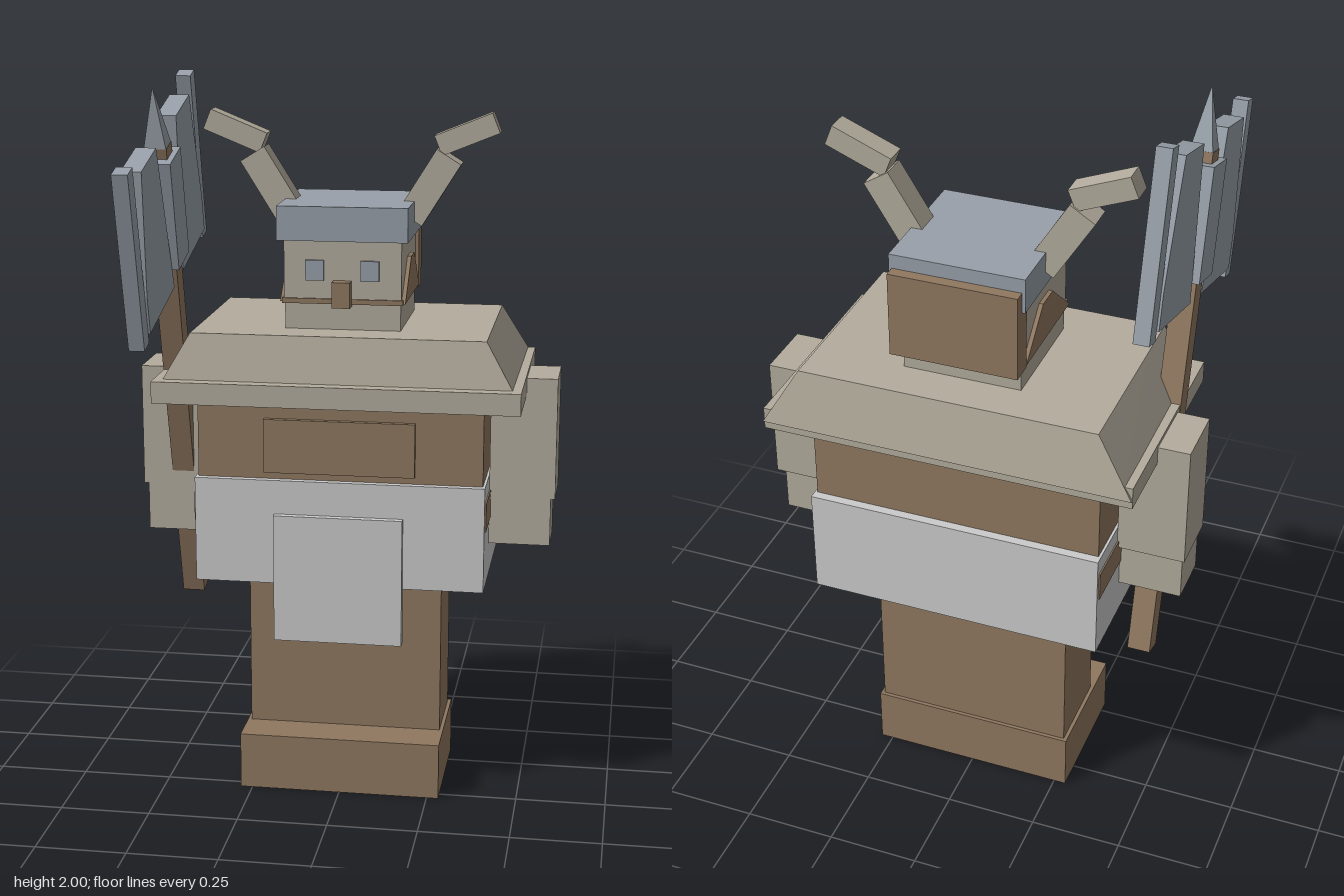
import * as THREE from 'three';

const material = (name, color) => {
  const m = new THREE.MeshStandardMaterial({ color });
  m.name = name;
  return m;
};

export function createModel() {
  const root = new THREE.Group();
  root.name = 'hornedWarrior';
  const leather = material('leather brown', 0x8f7860);
  const bone = material('bone tan', 0xb3ac9d);
  const steel = material('steel grey', 0x98a0a9);
  const cloth = material('pale cloth', 0xcbcbcb);

  const add = (name, geometry, mat, parent = root) => {
    const mesh = new THREE.Mesh(geometry, mat);
    mesh.name = name;
    parent.add(mesh);
    return mesh;
  };
  // Box given by its lower and upper limits on each axis
  const box = (name, mat, [x0, x1], [y0, y1], [z0, z1], parent) => {
    const mesh = add(name, new THREE.BoxGeometry(x1 - x0, y1 - y0, z1 - z0), mat, parent);
    mesh.position.set((x0 + x1) / 2, (y0 + y1) / 2, (z0 + z1) / 2);
    return mesh;
  };
  // Outline in (z, y), extruded along x and centred on x = 0
  const sidePlate = (name, mat, points, depth, parent) => {
    const shape = new THREE.Shape(points.map(([z, y]) => new THREE.Vector2(z, y)));
    const g = new THREE.ExtrudeGeometry(shape, { depth, bevelEnabled: false });
    g.rotateY(-Math.PI / 2).translate(depth / 2, 0, 0);
    return add(name, g, mat, parent);
  };

  // Lower body
  box('boots', leather, [-0.283, 0.283], [0, 0.16], [-0.325, 0.03]);
  box('legs', leather, [-0.273, 0.273], [0.16, 0.63], [-0.315, -0.085]);
  box('skirt', cloth, [-0.4, 0.4], [0.62, 0.915], [-0.445, 0.04]);
  box('apron', cloth, [-0.178, 0.178], [0.46, 0.82], [0.03, 0.06]);

  // Torso
  box('torso', leather, [-0.393, 0.393], [0.9, 1.15], [-0.42, 0.02]);
  box('chestPanel', leather, [-0.208, 0.208], [0.935, 1.085], [0.01, 0.035]);

  // Shoulder mantle: a flat brim under a sloping top
  box('mantleBrim', bone, [-0.497, 0.497], [1.14, 1.2], [-0.488, 0.125]);
  const mantle = new THREE.BoxGeometry(1, 1, 1);
  const p = mantle.attributes.position;
  for (let i = 0; i < p.count; i++) {
    const side = Math.sign(p.getX(i)), front = p.getZ(i) > 0;
    if (p.getY(i) > 0) p.setXYZ(i, side * 0.4, 1.325, front ? 0.065 : -0.47);
    else p.setXYZ(i, side * (front ? 0.475 : 0.497), front ? 1.195 : 1.165, front ? 0.09 : -0.497);
  }
  mantle.computeVertexNormals();
  add('mantleTop', mantle, bone);

  // Head
  box('neck', bone, [-0.158, 0.158], [1.3, 1.4], [-0.355, -0.04]);
  box('head', bone, [-0.16, 0.16], [1.4, 1.58], [-0.355, -0.035]);
  box('helmet', steel, [-0.178, 0.178], [1.567, 1.66], [-0.382, -0.022]);
  box('hair', leather, [-0.17, 0.17], [1.393, 1.622], [-0.413, -0.35]);
  box('nose', leather, [-0.025, 0.025], [1.39, 1.46], [-0.04, 0]);
  box('moustache', leather, [-0.165, 0.165], [1.396, 1.41], [-0.04, -0.03]);

  // Mirrored parts
  for (const s of [1, -1]) {
    const side = s > 0 ? 'left' : 'right';
    const span = (a, b) => (s > 0 ? [a, b] : [-b, -a]);
    box(side + 'UpperArm', bone, span(0.4, 0.582), [0.85, 1.19], [-0.285, -0.115]);
    box(side + 'Hand', bone, span(0.4, 0.57), [0.715, 0.85], [-0.26, -0.118]);
    box(side + 'BeltPatch', leather, span(0.395, 0.404), [0.79, 0.87], [-0.435, 0.03]);
    box(side + 'Eye', steel, span(0.05, 0.1), [1.46, 1.515], [-0.04, -0.026]);
    const whisker = sidePlate(side + 'Whisker', leather,
      [[-0.035, 1.4], [-0.165, 1.51], [-0.235, 1.51], [-0.355, 1.4]], 0.012);
    whisker.position.x = s * 0.165;

    // Horn segments lie between two points in the x, y plane
    const hornPart = (name, [ax, ay], [bx, by], width, depth) => {
      const mesh = add(side + name,
        new THREE.BoxGeometry(width, Math.hypot(bx - ax, by - ay), depth), bone);
      mesh.position.set(s * (ax + bx) / 2, (ay + by) / 2, -0.203);
      mesh.rotation.z = -s * Math.atan2(bx - ax, by - ay);
    };
    hornPart('HornBase', [0.165, 1.613], [0.27, 1.781], 0.078, 0.074);
    hornPart('HornTip', [0.24, 1.81], [0.396, 1.873], 0.058, 0.062);
  }

  // Double axe, leaning forward, with its origin at the top of the shaft
  const axe = new THREE.Group();
  axe.name = 'axe';
  axe.position.set(-0.468, 1.83, 0.105);
  axe.rotation.x = Math.PI / 12;
  root.add(axe);
  box('axeHandle', leather, [-0.031, 0.031], [-1.369, 0], [-0.031, 0.031], axe);
  box('axeSocket', steel, [-0.046, 0.046], [-0.328, -0.028], [-0.063, 0.063], axe);
  const spike = new THREE.ConeGeometry(0.042, 0.16, 4, 1).toNonIndexed();
  spike.rotateY(Math.PI / 4).computeVertexNormals();
  add('axeSpike', spike, steel, axe).position.y = 0.08;
  for (const s of [1, -1]) {
    const side = s > 0 ? 'front' : 'back';
    const blade = [[0.281, 0.038], [0.117, 0.038], [0.054, -0.382], [0.337, -0.382], [0.337, -0.283]];
    sidePlate(side + 'AxeBlade', steel, blade.map(([z, y]) => [s * z, y]), 0.054, axe);
    box(side + 'AxeEdge', steel, [-0.021, 0.021], [-0.408, 0.072],
      s > 0 ? [0.336, 0.387] : [-0.387, -0.336], axe);
  }
  return root;
}
